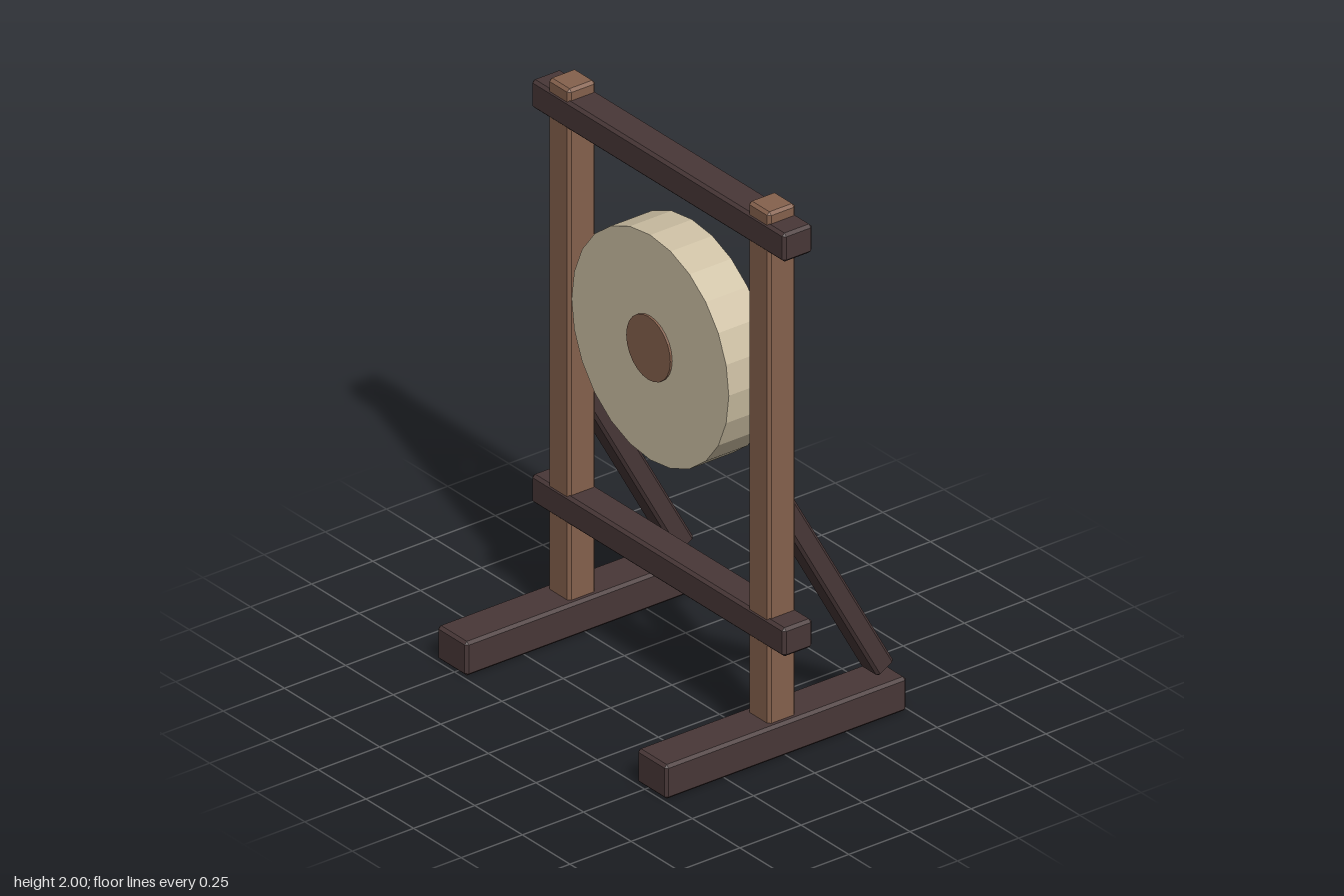
import * as THREE from 'three';
import { ConvexGeometry } from 'three/addons/geometries/ConvexGeometry.js';

const material = (name, color) => {
  const m = new THREE.MeshStandardMaterial({ color });
  m.name = name;
  return m;
};

// Box with flat chamfered edges
function beam(w, h, d, b = 0.01) {
  const points = [];
  for (const x of [-1, 1]) for (const y of [-1, 1]) for (const z of [-1, 1]) {
    for (let axis = 0; axis < 3; axis++) {
      const inset = [b, b, b];
      inset[axis] = 0;
      points.push(new THREE.Vector3(
        x * (w / 2 - inset[0]), y * (h / 2 - inset[1]), z * (d / 2 - inset[2])));
    }
  }
  return new ConvexGeometry(points);
}

// Faceted disc facing +z
function disc(radius, back, front, sides) {
  const g = new THREE.CylinderGeometry(radius, radius, front - back, sides).toNonIndexed();
  g.computeVertexNormals();
  return g.rotateX(Math.PI / 2).translate(0, 0, (front + back) / 2);
}

export function createModel() {
  const darkWood = material('dark wood', 0x483737);
  const brownWood = material('brown wood', 0x85614d);
  const paleMetal = material('pale metal', 0xcdc0a4);

  const model = new THREE.Group();
  model.name = 'gongStand';
  const add = (name, geometry, mat, x, y, z) => {
    const mesh = new THREE.Mesh(geometry, mat);
    mesh.name = name;
    mesh.position.set(x, y, z);
    model.add(mesh);
    return mesh;
  };

  // Brace runs from the rear of the foot up into the post
  const foot = new THREE.Vector2(-0.435, 0.156);
  const angle = 0.508;
  const length = 0.84;
  const braceZ = foot.x + Math.sin(angle) * length / 2;
  const braceY = foot.y + Math.cos(angle) * length / 2;

  // Mirrored sides: foot, post and brace
  for (const [side, s] of [['left', 1], ['right', -1]]) {
    const x = s * 0.525;
    add(side + 'Foot', beam(0.156, 0.125, 0.985), darkWood, x, 0.0625, 0);
    add(side + 'Post', beam(0.112, 1.89, 0.112), brownWood, x, 1.055, 0);
    add(side + 'Brace', beam(0.094, length, 0.076), darkWood, x, braceY, braceZ)
      .rotation.x = angle;
  }

  // Cross rails
  add('topRail', beam(1.33, 0.105, 0.12), darkWood, 0, 1.907, 0);
  add('lowerRail', beam(1.33, 0.105, 0.12), darkWood, 0, 0.457, 0);

  // Gong and its centre boss
  add('gong', disc(0.413, -0.082, 0.089, 24), paleMetal, 0, 1.27, 0);
  add('gongCentre', disc(0.116, 0.08, 0.097, 24), brownWood, 0, 1.27, 0);

  return model;
}
